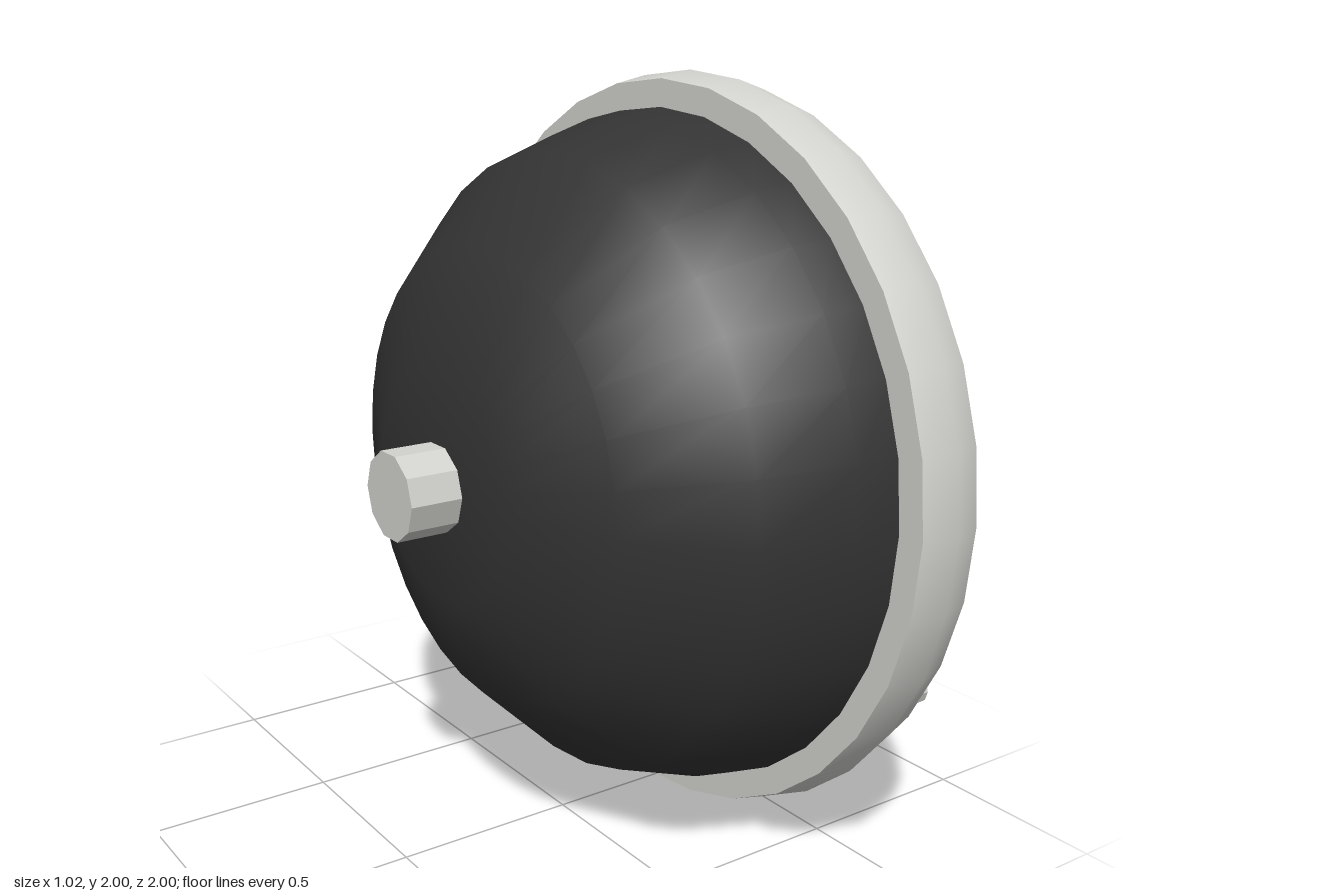
import * as THREE from 'three';
import { toCreasedNormals } from 'three/addons/utils/BufferGeometryUtils.js';

const SEGMENTS = 32;

// Revolve a profile of [axial x, radius] pairs about the x axis
function revolve(profile) {
  const points = profile.map(([x, r]) => new THREE.Vector2(r, x));
  return new THREE.LatheGeometry(points, SEGMENTS).rotateZ(-Math.PI / 2);
}

// Faceted cylinder lying along x, from x0 to x1
function peg(x0, x1, radius, material) {
  const geometry = new THREE.CylinderGeometry(radius, radius, x1 - x0, 10);
  geometry.rotateZ(-Math.PI / 2).translate((x0 + x1) / 2, 0, 0);
  return new THREE.Mesh(toCreasedNormals(geometry, 0.4), material);
}

export function createModel() {
  const black = new THREE.MeshStandardMaterial({ color: 0x333333 });
  black.name = 'black housing';
  const silver = new THREE.MeshStandardMaterial({ color: 0xd2d2ce });
  silver.name = 'light grey';

  const model = new THREE.Group();
  model.name = 'lamp';
  const lamp = new THREE.Group();
  lamp.name = 'lampBody';
  lamp.position.y = 1;
  model.add(lamp);

  const add = (name, mesh) => {
    mesh.name = name;
    lamp.add(mesh);
    return mesh;
  };

  // Bowl-shaped housing
  add('housing', new THREE.Mesh(revolve([
    [-0.375, 0], [-0.375, 0.3], [-0.255, 0.59], [-0.03, 0.81], [0.2, 0.89], [0.315, 0.91],
  ]), black));

  // Rim with a bevelled outside and a sloped inner lip
  add('rim', new THREE.Mesh(toCreasedNormals(revolve([
    [0.305, 0.87], [0.305, 0.98], [0.4, 1], [0.49, 0.972], [0.49, 0.947], [0.42, 0.87], [0.33, 0.865],
  ]), 0.6), silver));

  // Shallow domed lens
  add('lens', new THREE.Mesh(revolve([
    [0.36, 0.865], [0.41, 0.78], [0.45, 0.64], [0.478, 0.42], [0.49, 0.2], [0.497, 0],
  ]), silver));

  // Mounting stub at the back
  add('mountingStub', peg(-0.515, -0.36, 0.115, silver));

  // Three screws spaced evenly around the rim
  for (let i = 0; i < 3; i++) {
    const angle = Math.PI / 2 + (i * Math.PI * 2) / 3;
    const screw = add('screw', peg(0.44, 0.51, 0.041, silver));
    screw.position.set(0, 0.93 * Math.sin(angle), 0.93 * Math.cos(angle));
  }

  return model;
}
